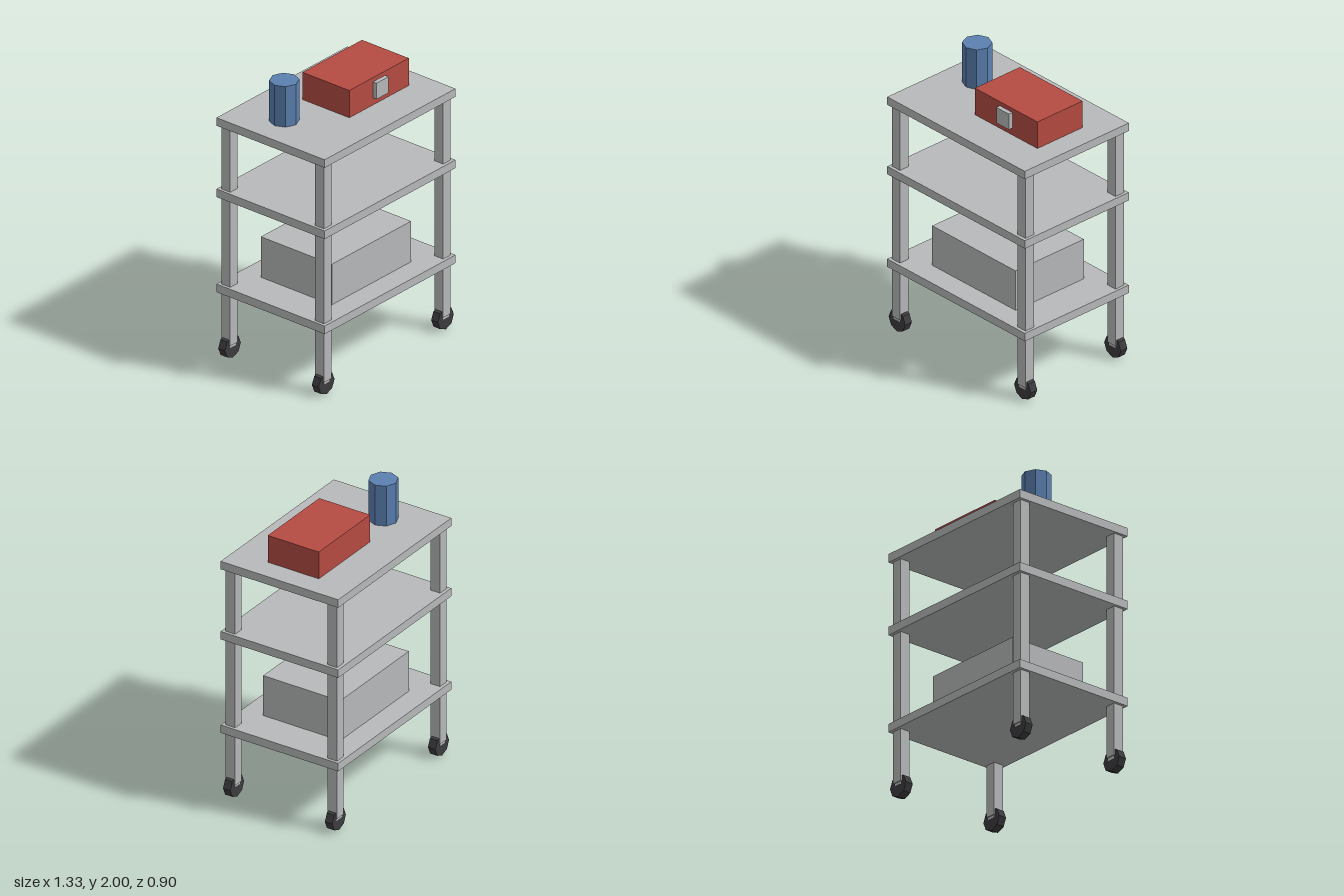
import * as THREE from 'three';

function material(name, color) {
  const m = new THREE.MeshStandardMaterial({ color, flatShading: true });
  m.name = name;
  return m;
}

export function createModel() {
  const cart = new THREE.Group();
  cart.name = 'utilityCart';
  const grey = material('grey metal', 0xb8b9ba);
  const red = material('red', 0xb54b42);
  const blue = material('blue', 0x5b80b0);
  const black = material('dark rubber', 0x3c3c3f);

  function add(name, geometry, mat, x, y, z) {
    const mesh = new THREE.Mesh(geometry, mat);
    mesh.name = name;
    mesh.position.set(x, y, z);
    cart.add(mesh);
    return mesh;
  }
  const box = (name, w, h, d, mat, x, y, z) =>
    add(name, new THREE.BoxGeometry(w, h, d), mat, x, y, z);

  // Three shelves, given by their top heights
  const shelves = { lowerShelf: 0.52, middleShelf: 1.2, topShelf: 1.71 };
  for (const [name, top] of Object.entries(shelves)) {
    box(name, 1.286, 0.058, 0.9, grey, 0, top - 0.029, 0);
  }

  // Corner posts, each on an octagonal caster
  for (const sx of [-1, 1]) {
    for (const sz of [-1, 1]) {
      const side = (sz > 0 ? 'front' : 'back') + (sx > 0 ? 'Left' : 'Right');
      const x = sx * 0.586, z = sz * 0.39;
      box(side + 'Post', 0.074, 1.58, 0.074, grey, x, 0.89, z);
      box(side + 'CasterMount', 0.058, 0.04, 0.059, grey, x, 0.1, z);
      const wheel = add(side + 'Wheel', new THREE.CylinderGeometry(0.078, 0.078, 0.056, 8), black, x, 0.078, z);
      wheel.rotation.x = Math.PI / 2;
    }
  }

  // Storage box on the lower shelf
  box('storageBox', 0.78, 0.29, 0.59, grey, 0, 0.665, 0);

  // Red case with its clasp, and the canister on the top shelf
  box('redCase', 0.585, 0.195, 0.39, red, 0.193, 1.8075, 0);
  box('caseClasp', 0.117, 0.115, 0.05, grey, 0.193, 1.8175, 0.2);
  add('canister', new THREE.CylinderGeometry(0.097, 0.097, 0.29, 8), blue, -0.393, 1.855, -0.098);

  return cart;
}
